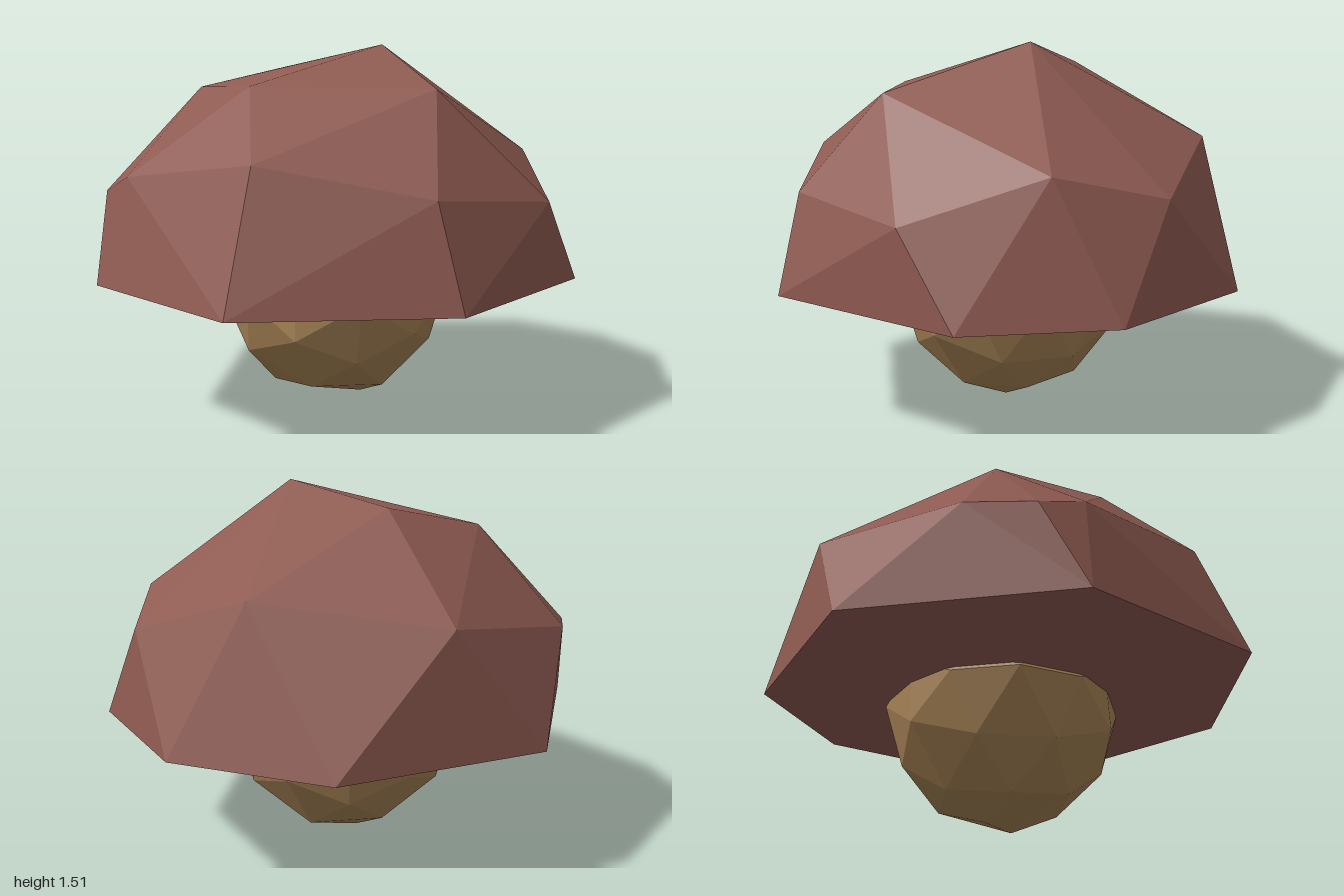
import * as THREE from 'three';
import { ConvexGeometry } from 'three/addons/geometries/ConvexGeometry.js';

const hull = (points) => new ConvexGeometry(points.map((p) => new THREE.Vector3(...p)));

export function createModel() {
  const capRed = new THREE.MeshStandardMaterial({ color: 0x8f5b52 });
  capRed.name = 'capRed';
  const stemTan = new THREE.MeshStandardMaterial({ color: 0xa58254 });
  stemTan.name = 'stemTan';
  const model = new THREE.Group();
  model.name = 'mushroom';

  // Cap: irregular faceted dome on an eight-sided rim
  const rim = [
    [1, -0.11], [0.91, 0.47], [0.23, 1], [-0.58, 0.88],
    [-1, 0.17], [-0.72, -0.69], [0.08, -1], [0.68, -0.73],
  ].map(([x, z]) => [x, 0.55, z]);
  const shoulder = [
    [0.83, 0.96, -0.35], [0.83, 1.06, 0.1], [0.71, 0.89, 0.62], [0.16, 0.94, 0.9],
    [-0.46, 1.06, 0.74], [-0.87, 0.98, 0.19], [-0.95, 0.91, 0], [-0.88, 0.93, -0.26],
    [-0.35, 1.04, -0.79], [0.38, 1.13, -0.71],
  ];
  const crown = [
    [0.22, 1.51, -0.02], [0.26, 1.32, 0.58], [-0.41, 1.33, 0.37],
    [-0.55, 1.33, -0.1], [-0.15, 1.42, -0.35],
  ];
  // Underside dips slightly toward the stem
  const underside = rim.map(([x, , z]) => [x * 0.5, 0.5, z * 0.5]);
  const cap = new THREE.Mesh(hull([...rim, ...shoulder, ...crown, ...underside]), capRed);
  cap.name = 'cap';
  model.add(cap);

  // Stem: faceted, slightly uneven bowl tucked into the cap
  const ball = new THREE.IcosahedronGeometry(0.49, 1);
  const pos = ball.attributes.position;
  const points = [];
  for (let i = 0; i < pos.count; i++) {
    const [x, y, z] = [pos.getX(i), pos.getY(i), pos.getZ(i)];
    const wobble = 1 + 0.015 * Math.sin(x * 9 + y * 7 + z * 13);
    points.push([x * wobble, Math.min(0.58, Math.max(0.004, 0.487 + y * wobble)), z * wobble]);
  }
  points.push([0.11, 0, 0.05], [-0.05, 0, -0.08]);
  const stem = new THREE.Mesh(hull(points), stemTan);
  stem.name = 'stem';
  model.add(stem);
  return model;
}
